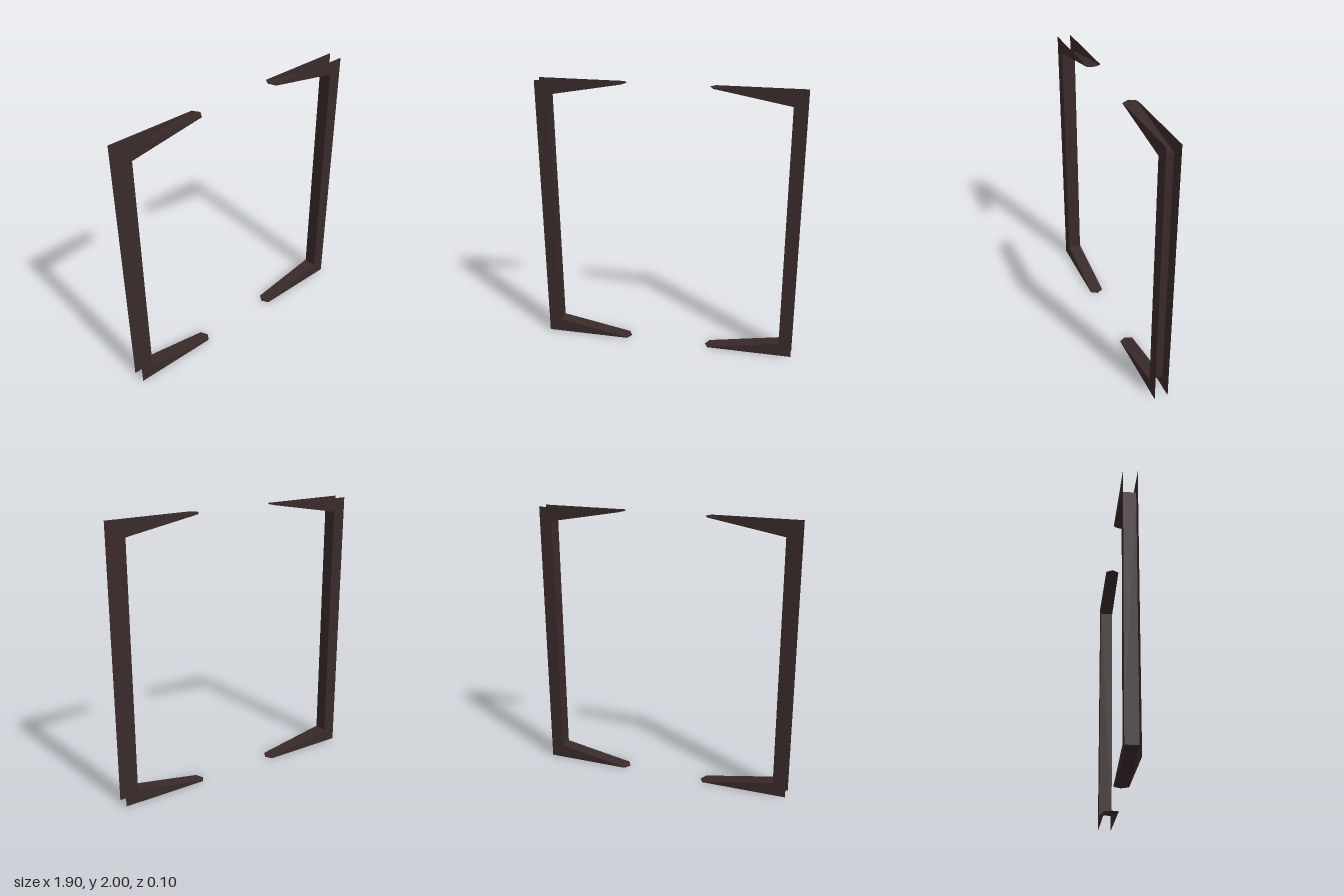
import * as THREE from 'three';

const D = 0.05;          // half depth of the channel
const OUT = 0.95;        // outer edge
const IN = 0.855;        // inner wall
const END = 0.32;        // where the side plates stop
const TIP = 0.29;        // pointed end of each arm
const LIP = 0.005;       // plate height left at the end

const material = new THREE.MeshStandardMaterial({
  color: 0x3a2a2a, flatShading: true, side: THREE.DoubleSide,
});

function facets(triangles) {
  const geometry = new THREE.BufferGeometry();
  geometry.setAttribute('position', new THREE.Float32BufferAttribute(triangles.flat(2), 3));
  geometry.computeVertexNormals();
  return geometry;
}

function part(name, geometry) {
  const mesh = new THREE.Mesh(geometry, material);
  mesh.name = name;
  return mesh;
}

// Turns a part upside down about the middle height, swapping front and back
function flip(object) {
  object.rotation.x = Math.PI;
  object.position.y = 2;
  return object;
}

// C-shaped side plate with tapering arms
function plateGeometry() {
  const outline = [
    [OUT, 0], [OUT, 2], [END, 2], [END, 2 - LIP],
    [IN, 1.9], [IN, 0.1], [END, LIP], [END, 0],
  ].map(([x, y]) => new THREE.Vector2(x, y));
  return new THREE.ShapeGeometry(new THREE.Shape(outline)).translate(0, 0, D);
}

// Inner faces: sloping arm, upright, sloping arm
function innerGeometry() {
  const path = [[END, 2 - LIP], [IN, 1.9], [IN, 0.1], [END, LIP]];
  const triangles = [];
  for (let i = 0; i < path.length - 1; i++) {
    const [a, b] = [path[i], path[i + 1]];
    const [a0, a1, b0, b1] = [[...a, D], [...a, -D], [...b, D], [...b, -D]];
    triangles.push([a0, a1, b0], [a1, b1, b0]);
  }
  return facets(triangles);
}

// Pointed arm end
function tipGeometry() {
  const point = [TIP, 2, 0];
  const low = (z) => [END, 2 - LIP, z];
  const high = (z) => [END, 2, z];
  return facets([
    [point, low(-D), low(D)],
    [low(D), high(D), point],
    [low(-D), point, high(-D)],
  ]);
}

function bracket(name) {
  const group = new THREE.Group();
  group.name = name;
  group.add(
    part('frontPlate', plateGeometry()),
    flip(part('backPlate', plateGeometry())),
    part('innerWall', innerGeometry()),
    part('upperTip', tipGeometry()),
    flip(part('lowerTip', tipGeometry())),
  );
  return group;
}

export function createModel() {
  const model = new THREE.Group();
  model.name = 'bracketPair';
  const left = bracket('leftBracket');
  const right = bracket('rightBracket');
  right.rotation.y = Math.PI;
  model.add(left, right);
  return model;
}
